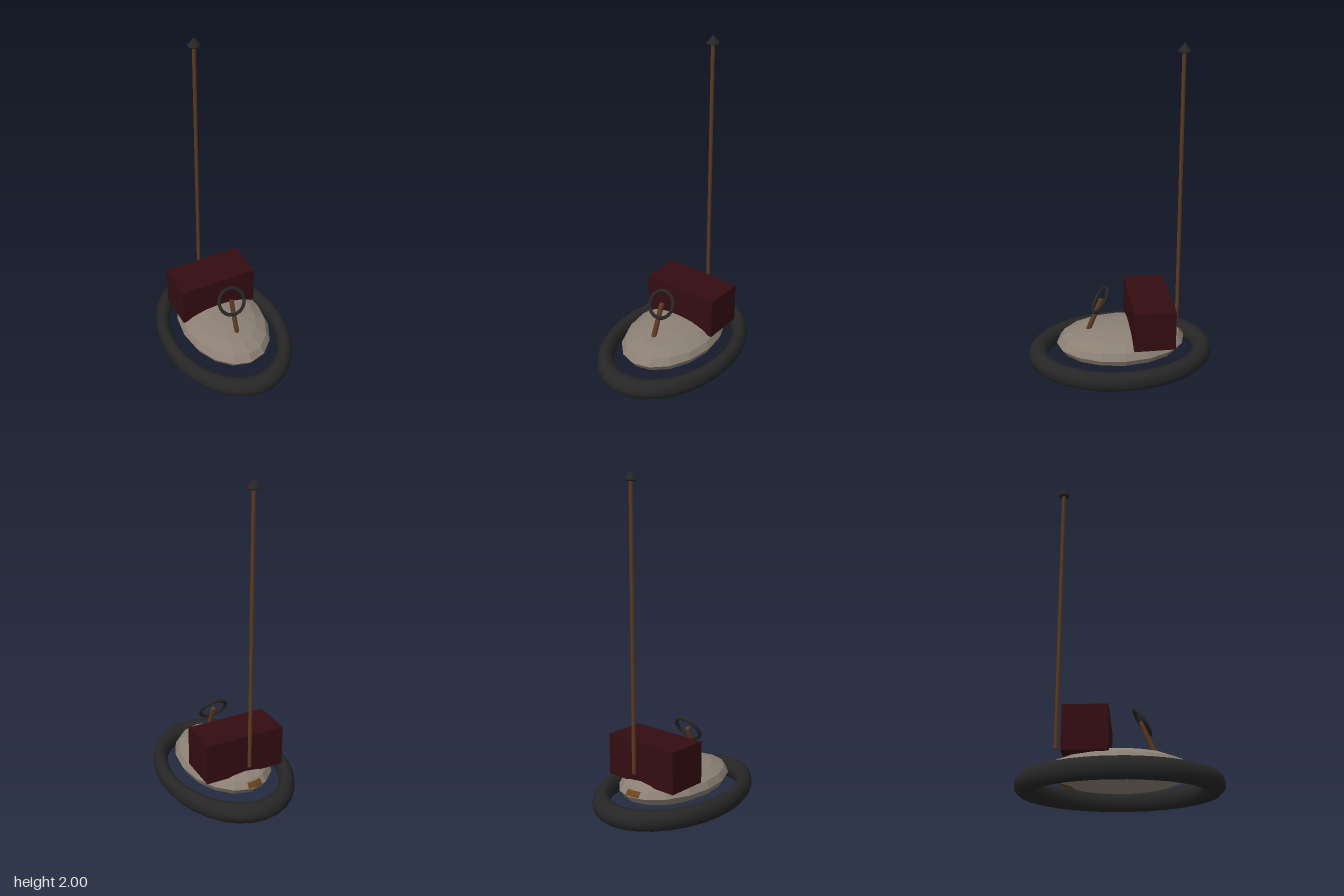
import * as THREE from 'three';

const mat = (name, color, extra = {}) => {
  const m = new THREE.MeshStandardMaterial({ color, ...extra });
  m.name = name;
  return m;
};

export function createModel() {
  const model = new THREE.Group();
  model.name = 'bumperCar';

  const rubber = mat('black rubber', 0x262626);
  const shell = mat('worn beige', 0x8c8075, { flatShading: true });
  const leather = mat('dark red', 0x330d11);
  const metal = mat('brown metal', 0x5a3a22);
  const rust = mat('rust', 0x6b421c);

  const add = (name, geometry, material, x = 0, y = 0, z = 0) => {
    const mesh = new THREE.Mesh(geometry, material);
    mesh.name = name;
    mesh.position.set(x, y, z);
    model.add(mesh);
    return mesh;
  };

  // Oval bumper lying flat around the body
  const ring = new THREE.TorusGeometry(1, 0.12, 12, 30);
  ring.rotateX(-Math.PI / 2);
  ring.rotateY(Math.PI / 2);
  ring.scale(0.366, 0.0625 / 0.12, 0.518);
  add('bumper', ring, rubber, 0, 0.0625, 0);

  // Flattened faceted body
  const bodyY = 0.14;
  const body = new THREE.SphereGeometry(1, 16, 8);
  body.scale(0.275, 0.108, 0.403);
  add('body', body, shell, 0, bodyY, 0);

  // Rust stains hugging the rear of the body
  const stains = [
    ['rearRust', -0.1, 0.35, 70, 16],
    ['lowerRust', -0.5, 0.55, 124, 16],
  ];
  for (const [name, start, length, theta, span] of stains) {
    const g = new THREE.SphereGeometry(1, 4, 2, Math.PI * 1.5 + start, length,
      THREE.MathUtils.degToRad(theta), THREE.MathUtils.degToRad(span));
    g.scale(0.277, 0.109, 0.405);
    add(name, g, rust, 0, bodyY, 0);
  }

  // Seat block
  add('seat', new THREE.BoxGeometry(0.508, 0.255, 0.254), leather, 0, 0.3175, -0.178);

  // Steering column and wheel, both leaning back
  const column = add('steeringColumn', new THREE.CylinderGeometry(0.016, 0.016, 0.23, 8), metal, 0, 0.32, 0.164);
  column.rotation.x = -0.38;
  const wheel = add('steeringWheel', new THREE.TorusGeometry(0.085, 0.011, 8, 24), rubber, 0, 0.424, 0.127);
  wheel.rotation.x = -0.56;

  // Power pole with pointed contact
  add('pole', new THREE.CylinderGeometry(0.012, 0.012, 1.68, 8), metal, 0, 1.11, -0.357);
  const tip = [[0, 1.943], [0.03, 1.945], [0.04, 1.955], [0, 2]].map(([r, y]) => new THREE.Vector2(r, y));
  add('poleTip', new THREE.LatheGeometry(tip, 8), rubber, 0, 0, -0.357);

  return model;
}
